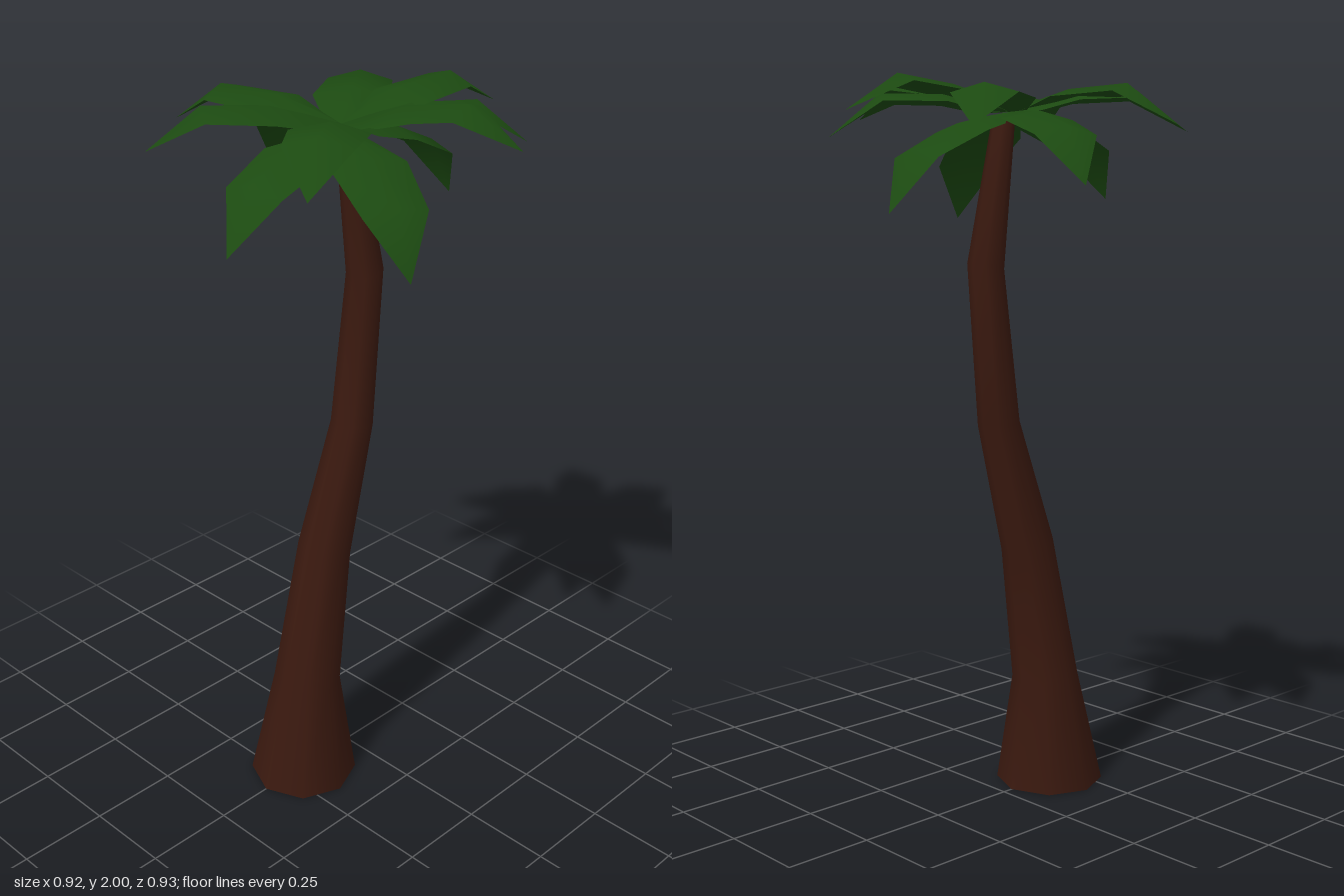
import * as THREE from 'three';
import { mergeVertices } from 'three/addons/utils/BufferGeometryUtils.js';

const bark = new THREE.MeshStandardMaterial({ color: 0x3a190f });
const green = new THREE.MeshStandardMaterial({ color: 0x1c4a11, side: THREE.DoubleSide });

// Trunk rings, bottom to top: left x, left y, right x, right y, half depth
const RINGS = [
  [-0.335, 0, -0.03, 0, 0.153],
  [-0.255, 0.33, -0.07, 0.31, 0.095],
  [-0.16, 0.74, -0.02, 0.69, 0.075],
  [-0.035, 1.08, 0.075, 1.06, 0.06],
  [0.02, 1.49, 0.115, 1.51, 0.052],
  [-0.028, 1.88, 0.033, 1.89, 0.032],
];

// Eight-sided tube bent through the tilted rings
function trunkGeometry() {
  const steps = RINGS.length - 1;
  let geo = new THREE.CylinderGeometry(1, 1, 1, 8, steps, true);
  geo.deleteAttribute('normal');
  geo.deleteAttribute('uv');
  const p = geo.attributes.position;
  for (let i = 0; i < p.count; i++) {
    const [lx, ly, rx, ry, depth] = RINGS[Math.round((p.getY(i) + 0.5) * steps)];
    const t = (p.getX(i) + 1) / 2;
    p.setXYZ(i, lx + (rx - lx) * t, ly + (ry - ly) * t, p.getZ(i) * depth);
  }
  geo = mergeVertices(geo);
  geo.computeVertexNormals();
  return geo;
}

// Leaf of length 1 along +x, arched, with edges drooping from the midrib
function leafGeometry() {
  const rows = [[0.16, 0.07, 0.125], [0.35, 0.143, 0.208], [0.69, 0.194, 0.178]]; // along, height, half width
  const droop = 0.05;
  const pos = [0, 0, 0];
  for (const [x, y, w] of rows) pos.push(x, y - droop, -w, x, y, 0, x, y - droop, w);
  pos.push(1, 0, 0);
  const tip = pos.length / 3 - 1;
  const index = [];
  for (let c = 0; c < 2; c++) {
    index.push(0, 2 + c, 1 + c);
    for (let r = 0; r < rows.length - 1; r++) {
      const a = 1 + r * 3 + c, b = a + 3;
      index.push(a, a + 1, b, a + 1, b + 1, b);
    }
    index.push(tip - 3 + c, tip - 2 + c, tip);
  }
  const geo = new THREE.BufferGeometry();
  geo.setAttribute('position', new THREE.Float32BufferAttribute(pos, 3));
  geo.setIndex(index);
  geo.computeVertexNormals();
  return geo;
}

// Leaf tips around the crown
const HUB = new THREE.Vector3(-0.02, 1.91, 0);
const TIPS = [
  [-0.17, 1.865, -0.465], [0.13, 1.71, -0.43], [0.375, 1.85, -0.29],
  [0.4, 1.64, 0], [0.46, 1.9, 0.095], [0.375, 1.84, 0.28],
  [0.13, 1.9, 0.46], [-0.17, 1.625, 0.38], [-0.415, 1.86, 0.285],
  [-0.46, 1.68, 0.055], [-0.415, 1.86, -0.29],
];

export function createModel() {
  const model = new THREE.Group();
  model.name = 'palmTree';

  const trunk = new THREE.Mesh(trunkGeometry(), bark);
  trunk.name = 'trunk';
  model.add(trunk);

  const base = new THREE.Mesh(new THREE.CircleGeometry(0.1525, 8), bark);
  base.name = 'trunkBase';
  base.rotation.x = Math.PI / 2;
  base.position.x = -0.1825;
  model.add(base);

  // Crown: one leaf shape aimed at each tip
  const crown = new THREE.Group();
  crown.name = 'crown';
  const leafGeo = leafGeometry();
  TIPS.forEach((t, i) => {
    const d = new THREE.Vector3(...t).sub(HUB);
    const leaf = new THREE.Mesh(leafGeo, green);
    leaf.name = `leaf${i + 1}`;
    leaf.position.copy(HUB);
    leaf.rotation.set(0, Math.atan2(-d.z, d.x), Math.atan2(d.y, Math.hypot(d.x, d.z)));
    leaf.scale.set(d.length(), 0.49, 0.49);
    crown.add(leaf);
  });
  model.add(crown);
  return model;
}
